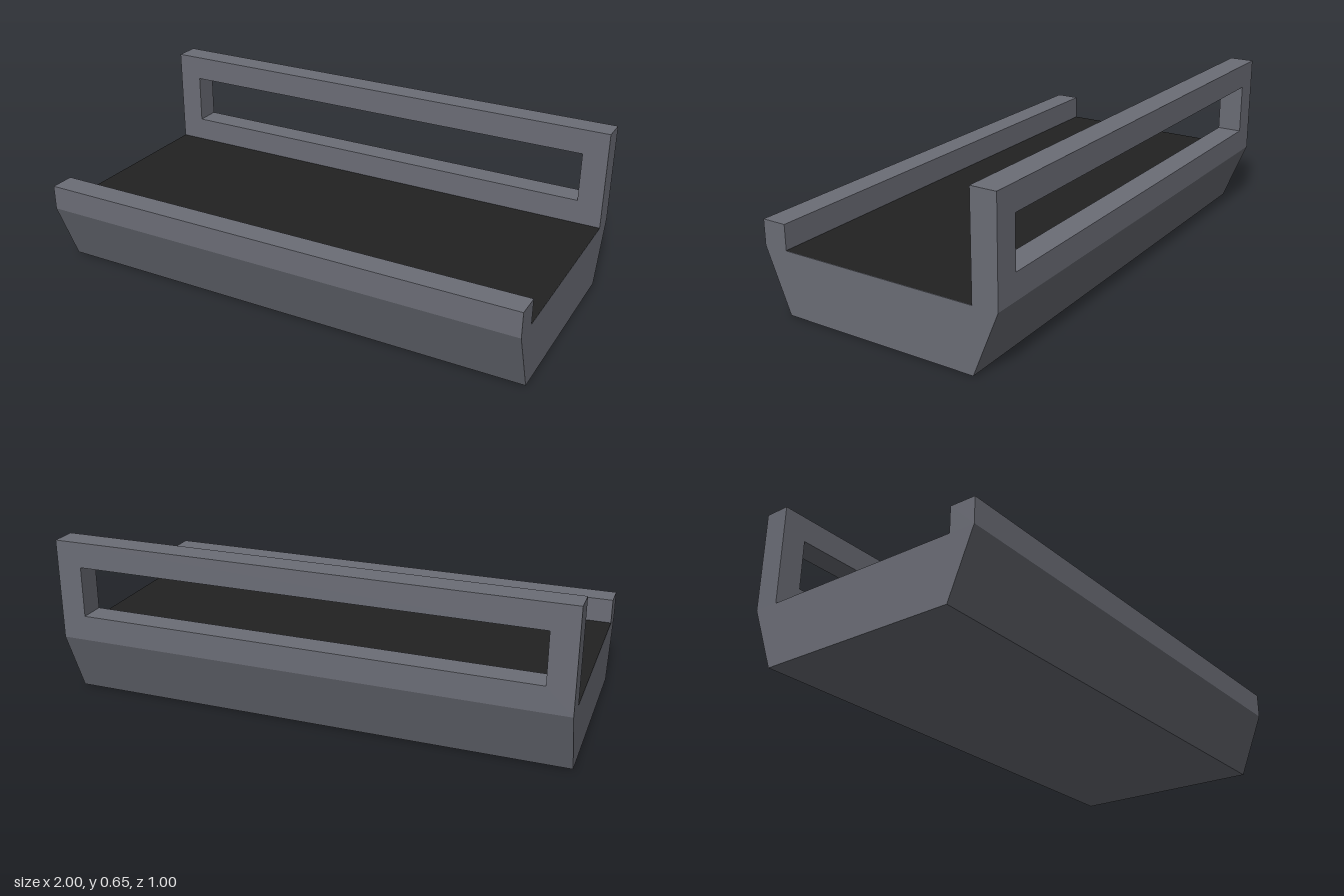
import * as THREE from 'three';

const grey = new THREE.MeshStandardMaterial({ color: 0x6b6d76 });
grey.name = 'slateGrey';
const black = new THREE.MeshStandardMaterial({ color: 0x212121 });
black.name = 'deckBlack';

const toPoints = (pairs) => pairs.map(([x, y]) => new THREE.Vector2(x, y));

function addMesh(group, name, geometry, material) {
  const mesh = new THREE.Mesh(geometry, material);
  mesh.name = name;
  group.add(mesh);
  return mesh;
}

export function createModel() {
  const group = new THREE.Group();
  group.name = 'tray';

  // Tapered hull with the low front lip: (z, y) profile swept along x
  const profile = new THREE.Shape(toPoints([
    [-0.4, 0], [0.4, 0], [0.5, 0.25], [0.5, 0.35], [0.4, 0.35], [0.4, 0.25], [-0.5, 0.25],
  ]));
  const hull = new THREE.ExtrudeGeometry(profile, { depth: 2, bevelEnabled: false });
  hull.rotateY(-Math.PI / 2).translate(1, 0, 0);
  addMesh(group, 'hull', hull, grey);

  // Tall back wall with a long window opening
  const wall = new THREE.Shape(toPoints([[-1, 0.25], [1, 0.25], [1, 0.65], [-1, 0.65]]));
  wall.holes.push(new THREE.Path(toPoints([[-0.9, 0.35], [-0.9, 0.55], [0.9, 0.55], [0.9, 0.35]])));
  const wallGeometry = new THREE.ExtrudeGeometry(wall, { depth: 0.1, bevelEnabled: false });
  wallGeometry.translate(0, 0, -0.5);
  addMesh(group, 'backWall', wallGeometry, grey);

  // Dark deck surface laid just over the hull
  const deck = new THREE.PlaneGeometry(2, 0.8);
  deck.rotateX(-Math.PI / 2).translate(0, 0.2515, 0);
  addMesh(group, 'deck', deck, black);

  return group;
}
